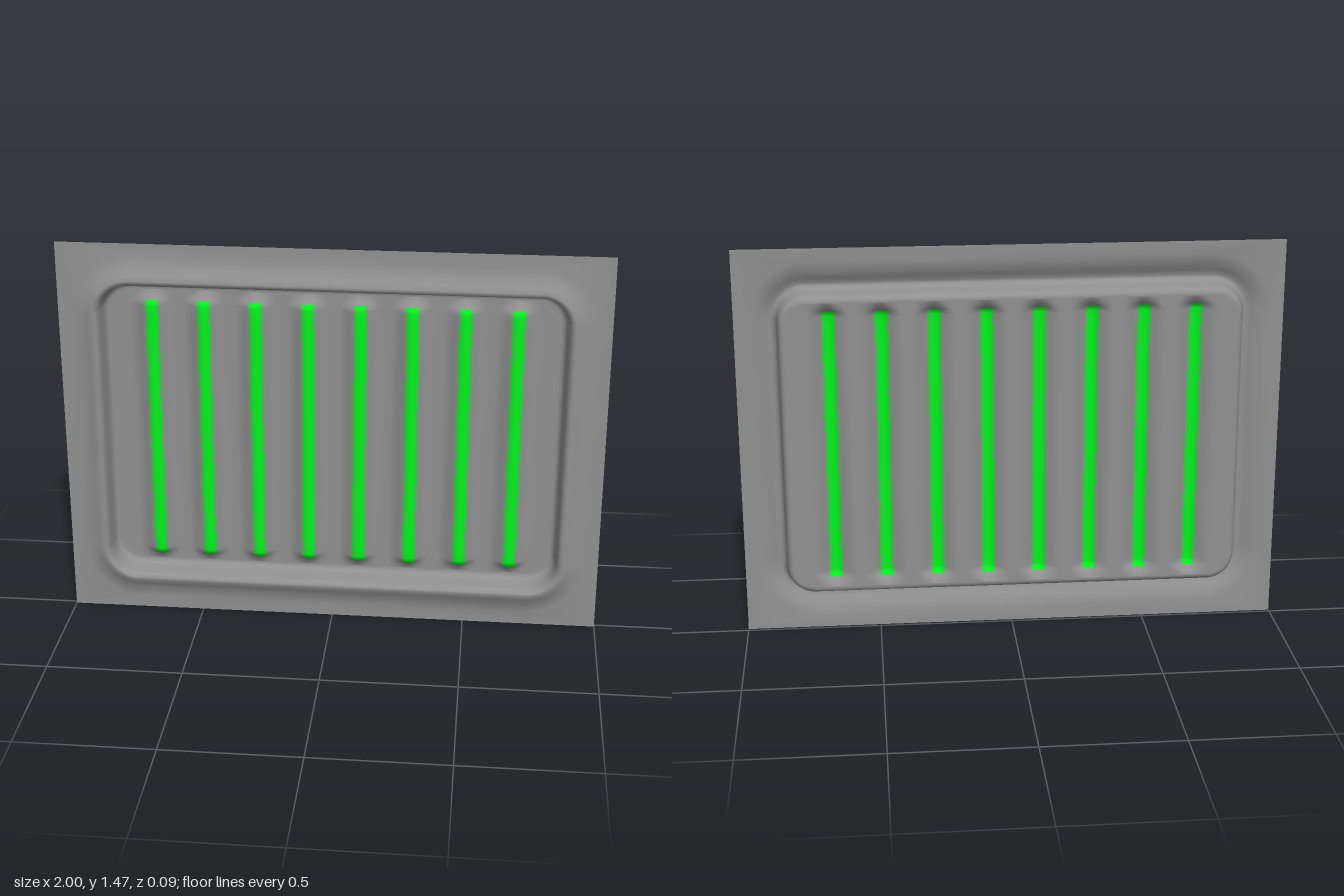
import * as THREE from 'three';

const W = 2, H = 1.465, CY = H / 2;
const FLAT_Z = 0.012, FLOOR_Z = -0.047;
const FLOOR_X = 0.75, FLOOR_Y = 0.545;          // half size of the ribbed floor panel
const RIBS = 8, PITCH = 0.19, RIB_TOP = 0.037;  // rib count, spacing, height
const RIB_HALF = 0.075, RIB_STRAIGHT = 0.49, RIB_END = 0.053;
const CREST_X = 0.022, CREST_Y = 0.512;
const ribX = i => (i - (RIBS - 1) / 2) * PITCH;

const sheetGrey = new THREE.MeshStandardMaterial({ color: 0x909090, side: THREE.DoubleSide });
const crestGreen = new THREE.MeshStandardMaterial({ color: 0x00f41a, side: THREE.DoubleSide });

// Counter-clockwise rounded rectangle with the same point count for any radius
function roundedLoop(hx, hy, r, z, steps = 12) {
  const points = [];
  [[1, 1], [-1, 1], [-1, -1], [1, -1]].forEach(([sx, sy], q) => {
    for (let i = 0; i <= steps; i++) {
      const a = (q + i / steps) * Math.PI / 2;
      points.push([sx * (hx - r) + r * Math.cos(a), sy * (hy - r) + r * Math.sin(a) + CY, z]);
    }
  });
  return points;
}

// Skin a list of equal loops from the inside out
function skinLoops(loops) {
  const n = loops[0].length, index = [];
  for (let i = 0; i < loops.length - 1; i++) {
    for (let j = 0; j < n; j++) {
      const k = (j + 1) % n;
      const a = i * n + j, b = a + n, c = (i + 1) * n + k, d = i * n + k;
      index.push(a, b, c, a, c, d);
    }
  }
  const g = new THREE.BufferGeometry();
  g.setAttribute('position', new THREE.Float32BufferAttribute(loops.flat(2), 3));
  g.setIndex(index);
  g.computeVertexNormals();
  return g;
}

// Height of the floor: soft rounded ribs with sloping ends
function floorHeight(x, y) {
  const i = THREE.MathUtils.clamp(Math.round(x / PITCH + (RIBS - 1) / 2), 0, RIBS - 1);
  const d = Math.hypot((x - ribX(i)) / RIB_HALF, Math.max(Math.abs(y) - RIB_STRAIGHT, 0) / RIB_END);
  return FLOOR_Z + RIB_TOP * (0.5 + 0.5 * Math.cos(Math.PI * Math.min(d, 1)));
}

function createFloor() {
  const floor = new THREE.Group();
  floor.name = 'ribbedFloor';

  // Grid lines gather around the ribs and their ends
  const offsets = [0, 0.011, CREST_X, 0.04, 0.058, RIB_HALF];
  const xs = [-FLOOR_X, FLOOR_X];
  for (let i = 0; i < RIBS; i++) {
    offsets.forEach(o => xs.push(ribX(i) + o));
    offsets.slice(1).forEach(o => xs.push(ribX(i) - o));
  }
  const ys = [0];
  [0.25, 0.45, RIB_STRAIGHT, 0.501, CREST_Y, 0.528, FLOOR_Y].forEach(y => ys.push(y, -y));
  xs.sort((a, b) => a - b);
  ys.sort((a, b) => a - b);

  const position = [], grey = [], green = Array.from({ length: RIBS }, () => []);
  for (const y of ys) for (const x of xs) position.push(x, y + CY, floorHeight(x, y));
  for (let r = 0; r < ys.length - 1; r++) {
    for (let c = 0; c < xs.length - 1; c++) {
      const mx = (xs[c] + xs[c + 1]) / 2, my = (ys[r] + ys[r + 1]) / 2;
      let target = grey;
      for (let i = 0; i < RIBS; i++) {
        if (Math.abs(mx - ribX(i)) < CREST_X && Math.abs(my) < CREST_Y) target = green[i];
      }
      const a = r * xs.length + c, b = a + 1, d = a + xs.length, e = d + 1;
      target.push(a, b, e, a, e, d);
    }
  }

  // Shared normals keep the crests seamless with the sheet
  const whole = new THREE.BufferGeometry();
  whole.setAttribute('position', new THREE.Float32BufferAttribute(position, 3));
  whole.setIndex([...grey, ...green.flat()]);
  whole.computeVertexNormals();
  const addPart = (name, index, material) => {
    const g = new THREE.BufferGeometry();
    g.setAttribute('position', whole.attributes.position);
    g.setAttribute('normal', whole.attributes.normal);
    g.setIndex(index);
    const mesh = new THREE.Mesh(g, material);
    mesh.name = name;
    floor.add(mesh);
  };
  addPart('floorPanel', grey, sheetGrey);
  green.forEach((index, i) => addPart(`ribCrest${i + 1}`, index, crestGreen));
  return floor;
}

// Recess wall, raised lip and flat border, as [outward offset, z]
function createBorder() {
  const profile = [
    [0, FLOOR_Z], [0.008, -0.045], [0.016, -0.037], [0.02, -0.024],
    [0.024, 0.0], [0.027, 0.02], [0.031, 0.034], [0.04, 0.044], [0.05, 0.045],
    [0.068, 0.037], [0.092, 0.022], [0.13, FLAT_Z],
  ];
  const loops = [
    roundedLoop(FLOOR_X, FLOOR_Y, 0, FLOOR_Z),
    ...profile.map(([d, z]) => roundedLoop(0.82 + d, 0.55 + d, 0.08 + d, z)),
    roundedLoop(W / 2, H / 2, 0, FLAT_Z),
  ];
  const border = new THREE.Mesh(skinLoops(loops), sheetGrey);
  border.name = 'pressedBorder';
  return border;
}

export function createModel() {
  const model = new THREE.Group();
  model.name = 'ribbedPanel';
  model.add(createBorder(), createFloor());
  return model;
}
